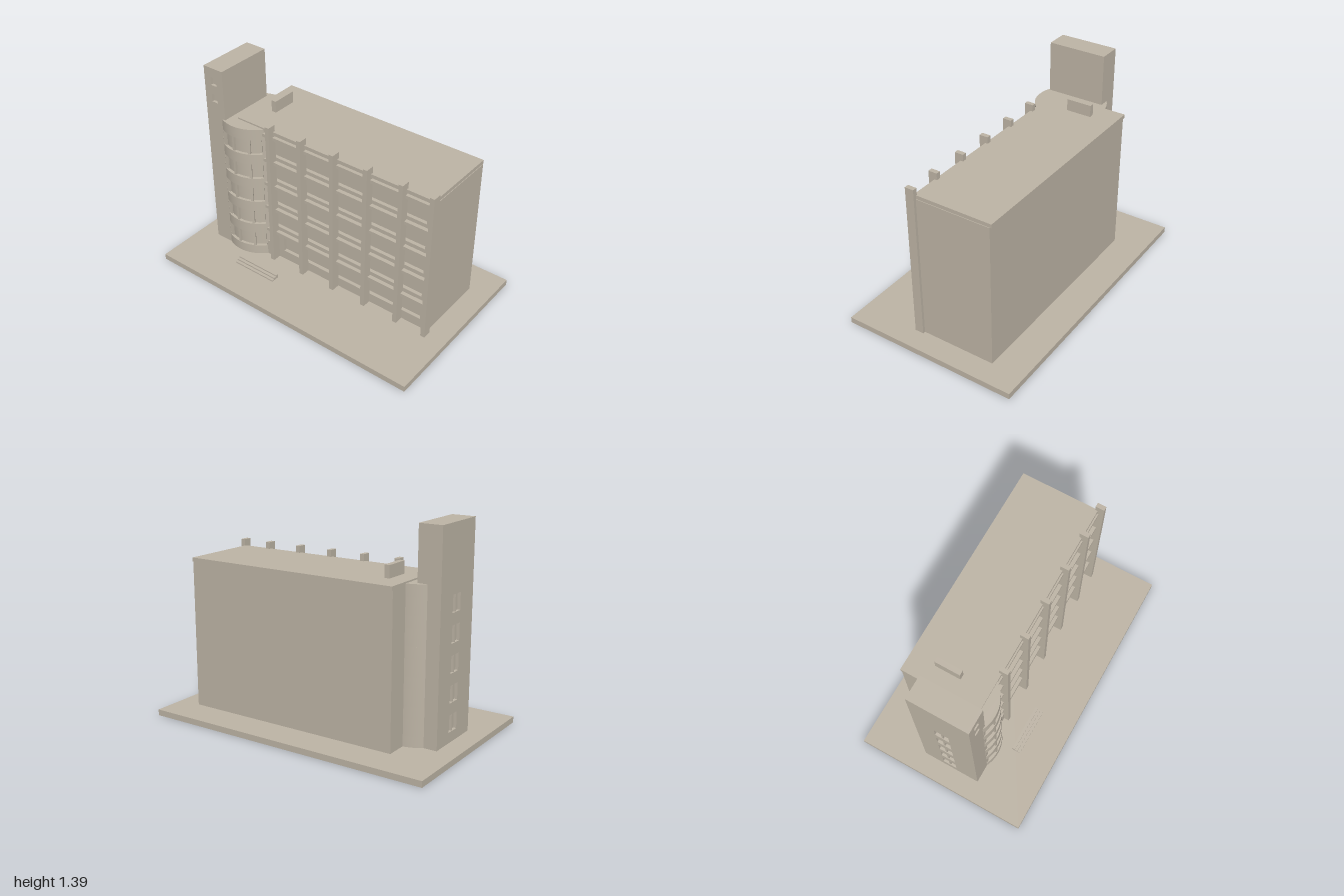
import * as THREE from 'three';
import { toCreasedNormals } from 'three/addons/utils/BufferGeometryUtils.js';

export function createModel() {
  const model = new THREE.Group();
  model.name = 'officeBuilding';
  const stone = new THREE.MeshStandardMaterial({ color: 0xbdb4a5 });
  stone.name = 'warm stone';

  const add = (name, geometry) => {
    const mesh = new THREE.Mesh(geometry, stone);
    mesh.name = name;
    model.add(mesh);
    return mesh;
  };
  // Box given by its limits on each axis
  const box = (name, x0, x1, y0, y1, z0, z1) =>
    add(name, new THREE.BoxGeometry(x1 - x0, y1 - y0, z1 - z0)
      .translate((x0 + x1) / 2, (y0 + y1) / 2, (z0 + z1) / 2));
  const rect = (Type, [x0, x1, y0, y1]) => new Type([
    [x0, y0], [x1, y0], [x1, y1], [x0, y1],
  ].map(([x, y]) => new THREE.Vector2(x, y)));
  // Wall plate with rectangular window openings
  const panel = (outline, holes, depth) => {
    const shape = rect(THREE.Shape, outline);
    shape.holes = holes.map((h) => rect(THREE.Path, h));
    return new THREE.ExtrudeGeometry(shape, { depth, bevelEnabled: false });
  };

  const ground = 0.04;
  const rows = [0, 1, 2, 3, 4].map((i) => [0.108 + i * 0.186, 0.218 + i * 0.186]);

  // Ground slab
  box('groundSlab', -1, 1, 0, ground, -0.605, 0.605);

  // Main block: solid core, pierced front wall and roof
  box('mainBlock', -0.66, 0.847, ground, 1.025, -0.38, 0.105);
  const strips = rows.slice(1).map(([a, b]) => [-0.43, 0.79, a, b]);
  strips.push([-0.32, 0.79, ...rows[0]]);
  add('frontWall', panel([-0.5, 0.847, ground, 1.025], strips, 0.025)).position.z = 0.105;
  box('roofSlab', -0.66, 0.843, 1.025, 1.05, -0.39, 0.148);
  box('roofVent', -0.54, -0.505, 1.05, 1.13, -0.22, -0.047);
  box('entranceBlock', -0.455, -0.39, ground, 0.152, 0.1, 0.155);

  // Floor ledges and tall front fins
  for (let i = 0; i < 5; i++) {
    const y = 0.243 + i * 0.187;
    box('floorLedge', -0.455, 0.84, y, y + 0.022, 0.125, 0.157);
  }
  for (const x of [-0.378, -0.125, 0.13, 0.383, 0.636, 0.85]) {
    box('frontFin', x - 0.015, x + 0.015, ground, 1.095, 0.13, 0.19);
  }

  // Round stair bay: horizontal bands with recessed curved windows between
  const cx = -0.63, R = 0.24;
  const point = (r, a) => new THREE.Vector2(Math.max(cx + r * Math.sin(a), -0.82), -r * Math.cos(a));
  const sector = (name, a0, a1, r, y0, y1) => {
    const full = a1 - a0 > 6.28;
    const n = Math.max(2, Math.ceil((a1 - a0) / 0.07));
    const pts = [];
    for (let i = 0; i < (full ? n : n + 1); i++) pts.push(point(r, a0 + (a1 - a0) * i / n));
    if (!full) pts.push(new THREE.Vector2(cx, 0));
    const g = new THREE.ExtrudeGeometry(new THREE.Shape(pts), { depth: y1 - y0, bevelEnabled: false });
    g.rotateX(-Math.PI / 2).translate(0, y0, 0);
    add(name, toCreasedNormals(g, 0.4));
  };
  const turn = Math.PI * 2;
  let below = ground;
  for (const [a, b] of rows) {
    sector('bayBand', 0, turn, R, below, a);
    sector('bayGlass', 0, turn, R - 0.02, a, b);
    sector('bayWall', 0.848, turn - 0.453, R, a, b);
    sector('bayMullion', -0.042, 0.021, R - 0.004, a, b);
    sector('bayMullion', 0.453, 0.524, R - 0.004, a, b);
    below = b;
  }
  sector('bayTop', 0, turn, R, below, 1.04);

  // Tall tower with windows on its front and left-hand faces
  const x0 = -0.865, x1 = -0.71, z0 = -0.19, z1 = 0.215, top = 1.388, d = 0.02;
  box('towerCore', x0 + d, x1, ground, top, z0, z1 - d);
  add('towerFrontWall', panel([x0 + d, x1, ground, top],
    [[-0.812, -0.765, 1.145, 1.202], [-0.812, -0.765, 1.265, 1.322]], d)).position.z = z1 - d;
  const side = add('towerSideWall', panel([z0, z1, ground, top],
    rows.map(([a, b]) => [-0.045, 0.055, a, b]), d));
  side.rotation.y = -Math.PI / 2;
  side.position.x = x0 + d;
  for (const [a, b] of rows) box('towerMullion', x0 + 0.004, x0 + d, a, b, -0.001, 0.011);

  // Entrance steps
  for (let i = 0; i < 3; i++) {
    box('entranceStep', -0.555, -0.225, ground + i * 0.009, ground + (i + 1) * 0.009, 0.31, 0.37 - i * 0.02);
  }
  return model;
}
